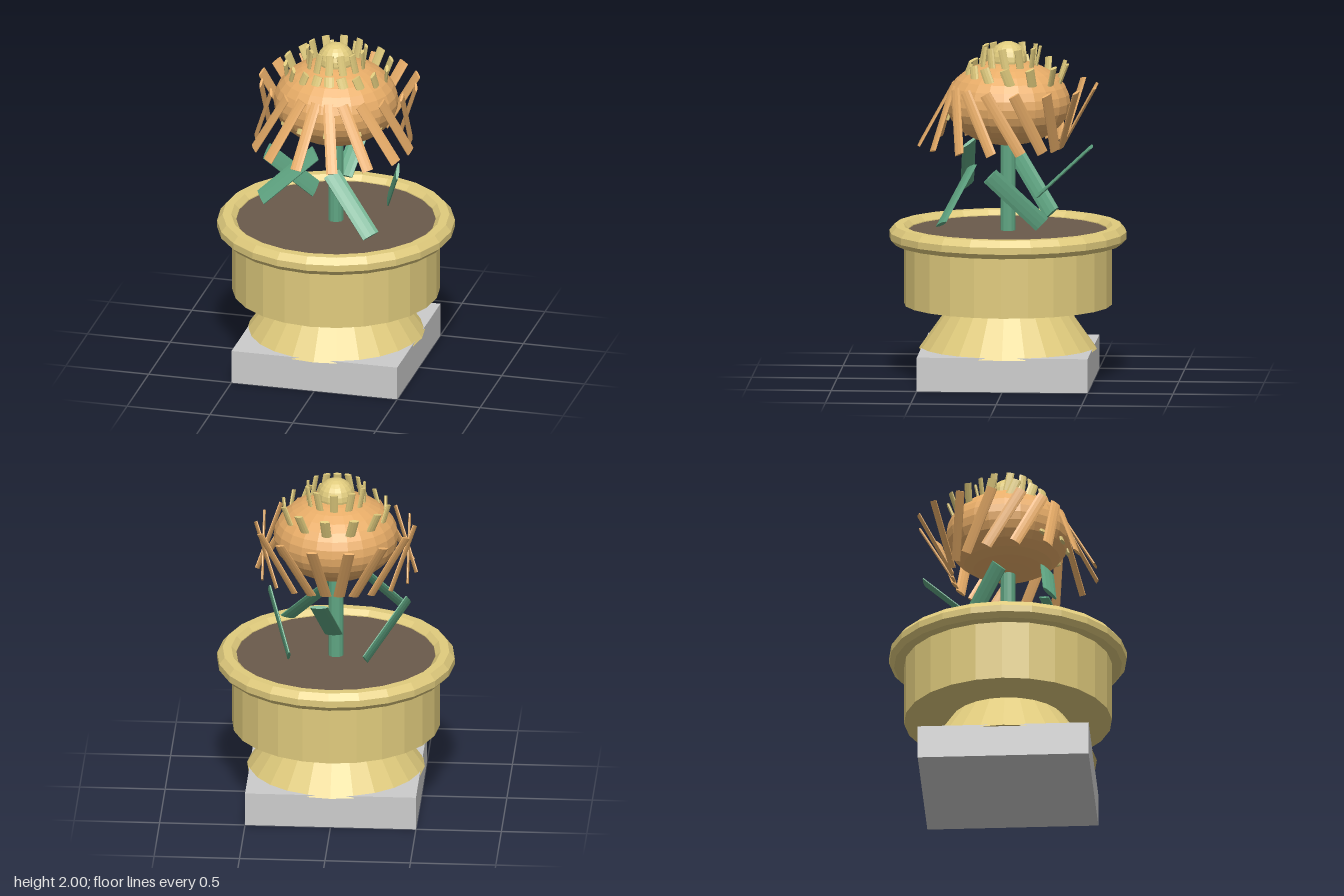
import * as THREE from 'three';

const paint = (color) => new THREE.MeshStandardMaterial({ color, flatShading: true });

export function createModel() {
  const model = new THREE.Group();
  const gold = paint(0xe0cb7d);
  const orange = paint(0xe8ad68);
  const green = paint(0x5fa582);
  const brown = paint(0x6b5a4b);
  const grey = paint(0xcccccc);

  const add = (name, geometry, material, y = 0) => {
    const mesh = new THREE.Mesh(geometry, material);
    mesh.name = name;
    mesh.position.y = y;
    model.add(mesh);
    return mesh;
  };

  // Square plinth and the flared foot
  add('plinth', new THREE.BoxGeometry(1, 0.2, 1), grey, 0.1);
  add('foot', new THREE.CylinderGeometry(0.33, 0.52, 0.27, 24), gold, 0.323);

  // Pot with rounded rim and soil
  add('pot', new THREE.CylinderGeometry(0.608, 0.608, 0.41, 24), gold, 0.655);
  const rimProfile = [
    [0.6, 0.81], [0.667, 0.81], [0.695, 0.84], [0.695, 0.88], [0.663, 0.918],
    [0.612, 0.918], [0.583, 0.89], [0.578, 0.86],
  ].map(([r, y]) => new THREE.Vector2(r, y));
  add('rim', new THREE.LatheGeometry(rimProfile, 24), gold);
  add('soil', new THREE.CylinderGeometry(0.585, 0.585, 0.02, 24), brown, 0.875);

  // Stem, flower head and its crown ball
  add('stem', new THREE.CylinderGeometry(0.045, 0.045, 0.6, 12), green, 1.15);
  add('flowerHead', new THREE.SphereGeometry(0.365, 24, 16), orange, 1.64).scale.y = 0.685;
  add('crown', new THREE.SphereGeometry(0.11, 16, 12), gold, 1.89);

  // Ring of flattened blades: each faces outward, while its lean turns twice as fast
  const up = new THREE.Vector3(0, 1, 0);
  const ring = (name, material, { count, start, radius, y, length, width, depth, tilt }) => {
    const group = new THREE.Group();
    group.name = name + 'Ring';
    const geometry = new THREE.CylinderGeometry(width / 2, width / 2, length, 10);
    geometry.scale(1, 1, depth / width);
    for (let i = 0; i < count; i++) {
      const a = THREE.MathUtils.degToRad(start + (360 * i) / count);
      const lean = new THREE.Vector3(
        Math.sin(tilt) * Math.sin(2 * a), Math.cos(tilt), -Math.sin(tilt) * Math.cos(2 * a));
      const blade = new THREE.Mesh(geometry, material);
      blade.name = name;
      blade.position.set(radius * Math.sin(a), Array.isArray(y) ? y[i] : y, -radius * Math.cos(a));
      blade.quaternion.setFromUnitVectors(up, lean)
        .multiply(new THREE.Quaternion().setFromAxisAngle(up, -a));
      group.add(blade);
    }
    model.add(group);
  };

  ring('leaf', green, {
    count: 5, start: 6, radius: 0.335, y: [1.24, 1.11, 1.11, 1.24, 1.11],
    length: 0.44, width: 0.11, depth: 0.02, tilt: 0.82,
  });
  ring('petal', orange, {
    count: 18, start: 10, radius: 0.425, y: 1.567,
    length: 0.41, width: 0.07, depth: 0.016, tilt: 0.53,
  });
  ring('middlePetal', gold, {
    count: 15, start: 6, radius: 0.287, y: 1.705,
    length: 0.36, width: 0.06, depth: 0.02, tilt: 0.38,
  });
  ring('innerPetal', gold, {
    count: 12, start: 0, radius: 0.165, y: 1.85,
    length: 0.25, width: 0.048, depth: 0.018, tilt: 0.2,
  });

  return model;
}
